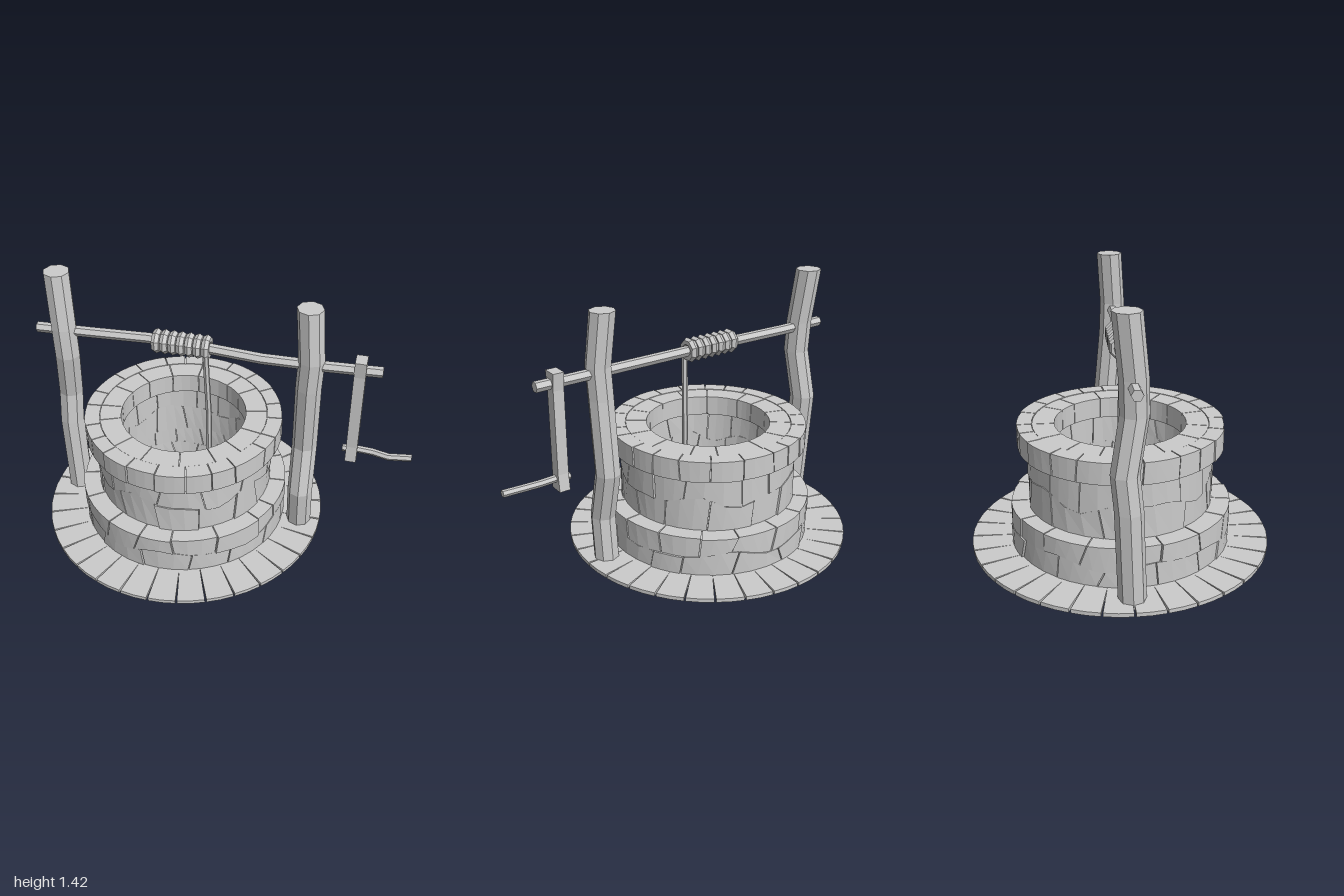
import * as THREE from 'three';
import { mergeGeometries } from 'three/addons/utils/BufferGeometryUtils.js';

const CX = -0.22; // centre of the well shaft
const material = new THREE.MeshStandardMaterial({ color: 0xcccccc, flatShading: true });

// small seeded generator, -1..1
let seed = 7;
function jitter() {
  seed = (seed * 16807) % 2147483647;
  return (seed / 2147483647) * 2 - 1;
}

function part(group, name, geometry, x = 0, y = 0, z = 0) {
  const mesh = new THREE.Mesh(geometry, material);
  mesh.name = name;
  mesh.position.set(x, y, z);
  group.add(mesh);
  return mesh;
}

// One curved block: sections of four corners (inner/outer, low/high) swept round the shaft
function stone(a0, a1, slant0, slant1, low, high, rIn, rOut) {
  const steps = 3, pos = [], index = [];
  for (let i = 0; i <= steps; i++) {
    const t = i / steps;
    const aLow = THREE.MathUtils.lerp(a0 - slant0, a1 - slant1, t);
    const aHigh = THREE.MathUtils.lerp(a0 + slant0, a1 + slant1, t);
    const corners = [[aLow, rIn, low], [aLow, rOut, low], [aHigh, rOut, high], [aHigh, rIn, high]];
    for (const [a, r, edge] of corners) pos.push(r * Math.sin(a), edge(a), r * Math.cos(a));
  }
  for (let i = 0; i < steps; i++) {
    for (let k = 0; k < 4; k++) {
      const a = i * 4 + k, b = i * 4 + ((k + 1) % 4);
      index.push(a, a + 4, b, b, a + 4, b + 4);
    }
  }
  const e = steps * 4;
  index.push(0, 1, 2, 0, 2, 3, e, e + 2, e + 1, e, e + 3, e + 2);
  const g = new THREE.BufferGeometry();
  g.setAttribute('position', new THREE.Float32BufferAttribute(pos, 3));
  g.setIndex(index);
  g.computeVertexNormals();
  return g;
}

// A course of uneven stones between two edge curves
function course(count, low, high, rIn, rOut, slant = 0.04, rough = 0.006) {
  const cuts = [], slants = [], stones = [], gap = 0.005, shift = jitter();
  for (let i = 0; i < count; i++) {
    cuts.push(((i + 0.22 * jitter()) / count) * Math.PI * 2 + shift);
    slants.push(slant * jitter());
  }
  cuts.push(cuts[0] + Math.PI * 2);
  slants.push(slants[0]);
  for (let i = 0; i < count; i++) {
    stones.push(stone(cuts[i] + gap, cuts[i + 1] - gap, slants[i], slants[i + 1],
      low, high, rIn, rOut + rough * jitter()));
  }
  return mergeGeometries(stones);
}

// Hollow ring closing the joints behind the stones
function core(rIn, rOut, y0, y1) {
  const profile = [[rIn, y0], [rOut, y0], [rOut, y1], [rIn, y1], [rIn, y0]];
  return new THREE.LatheGeometry(profile.map(([r, y]) => new THREE.Vector2(r, y)), 48);
}

const flat = (y) => () => y;
const wavy = (y, amp, phase) => (a) => y + amp * (Math.sin(5 * a + phase) + 0.6 * Math.sin(9 * a + 2 * phase));

// Crooked pole: a capped cylinder whose rings are moved onto the given points
function pole(points, radius, sides, alongX = false) {
  const rows = points.length - 1;
  const g = new THREE.CylinderGeometry(radius, radius, 1, sides, rows);
  const p = g.attributes.position;
  for (let i = 0; i < p.count; i++) {
    const [x, y, z] = points[rows - Math.round((0.5 - p.getY(i)) * rows)];
    const u = p.getX(i), w = p.getZ(i);
    if (alongX) p.setXYZ(i, x, y - u, z + w);
    else p.setXYZ(i, x + u, y, z + w);
  }
  g.computeVertexNormals();
  return g;
}

// Round paving with narrow wedge joints cut in from the rim
function paving() {
  const n = 32, shape = new THREE.Shape(), half = 0.006;
  for (let i = 0; i < n; i++) {
    const a = (i / n) * Math.PI * 2, next = ((i + 1) / n) * Math.PI * 2;
    const inner = i % 2 ? 0.56 : 0.52;
    const at = (r, t) => [r * Math.cos(t), r * Math.sin(t)];
    if (i === 0) shape.moveTo(...at(inner, a));
    else shape.lineTo(...at(inner, a));
    shape.lineTo(...at(0.774, a + half));
    shape.lineTo(...at(0.775, (a + next) / 2));
    shape.lineTo(...at(0.774, next - half));
  }
  shape.closePath();
  const g = new THREE.ExtrudeGeometry(shape, { depth: 0.02, bevelEnabled: false });
  return g.rotateX(-Math.PI / 2);
}

export function createModel() {
  seed = 7;
  const model = new THREE.Group();
  model.name = 'well';

  part(model, 'paving', paving(), CX, 0.024, 0);

  // Stone shaft: wide base, wall and rim
  const shaft = new THREE.Group();
  shaft.name = 'stoneShaft';
  shaft.position.x = CX;
  model.add(shaft);

  const baseSeam = wavy(0.15, 0.018, 1);
  part(shaft, 'baseCore', core(0.39, 0.553, 0.042, 0.25));
  part(shaft, 'baseLowerStones', course(15, flat(0.042), baseSeam, 0.38, 0.565));
  part(shaft, 'baseUpperStones', course(17, baseSeam, flat(0.256), 0.38, 0.565));

  const wallSeam = wavy(0.41, 0.025, 2.5);
  part(shaft, 'wallCore', core(0.39, 0.466, 0.25, 0.565));
  part(shaft, 'wallLowerStones', course(14, flat(0.25), wallSeam, 0.38, 0.478));
  part(shaft, 'wallUpperStones', course(13, wallSeam, flat(0.562), 0.38, 0.478));

  part(shaft, 'rimCore', core(0.345, 0.518, 0.563, 0.664));
  part(shaft, 'rimInnerStones', course(15, flat(0.56), flat(0.67), 0.335, 0.448, 0, 0));
  part(shaft, 'rimOuterStones', course(22, flat(0.56), flat(0.672), 0.45, 0.527, 0.01, 0.004));

  // Crooked posts
  part(model, 'rightPost', pole([[-0.865, 0.02, 0], [-0.88, 0.5, -0.02], [-0.874, 0.68, -0.038],
    [-0.848, 0.95, 0.005], [-0.853, 1.12, 0], [-0.872, 1.42, -0.032]], 0.068, 8));
  part(model, 'leftPost', pole([[0.437, 0, 0.01], [0.437, 0.28, 0.036], [0.437, 0.55, -0.028],
    [0.441, 0.95, 0.008], [0.448, 1.12, 0.015], [0.424, 1.4, -0.003]], 0.067, 8));

  // Windlass axle with wound rope
  part(model, 'axle', pole([[-1, 1.092, 0], [-0.72, 1.093, -0.01], [-0.4, 1.1, -0.018],
    [-0.08, 1.095, -0.002], [0.2, 1.087, 0.014], [0.5, 1.088, 0.01], [0.8, 1.092, 0]], 0.028, 6, true));
  const coil = new THREE.Group();
  coil.name = 'ropeCoil';
  model.add(coil);
  for (let i = 0; i < 7; i++) {
    const turn = new THREE.TorusGeometry(0.044, 0.022, 6, 8).rotateY(Math.PI / 2).rotateX(Math.PI / 8);
    part(coil, 'ropeTurn', turn, -0.349 + i * 0.0435, 1.1, -0.005);
  }
  part(model, 'hangingRope', pole([[-0.08, 0.045, 0.015], [-0.077, 0.7, 0.015], [-0.086, 1.09, 0.035]], 0.016, 6));

  // Crank arm, slimmer along its middle
  const arm = new THREE.BoxGeometry(0.058, 0.62, 0.08, 1, 3, 1);
  const p = arm.attributes.position;
  for (let i = 0; i < p.count; i++) {
    if (Math.abs(p.getY(i)) < 0.2) {
      p.setY(i, Math.sign(p.getY(i)) * 0.22);
      p.setZ(i, p.getZ(i) * 0.75);
    }
  }
  part(model, 'crankArm', arm, 0.69, 0.84, 0);
  part(model, 'crankHandle', pole([[0.64, 0.587, 0], [0.72, 0.592, 0], [0.8, 0.588, 0.002],
    [0.88, 0.582, 0.016], [1, 0.59, 0.008]], 0.019, 6, true));

  return model;
}
